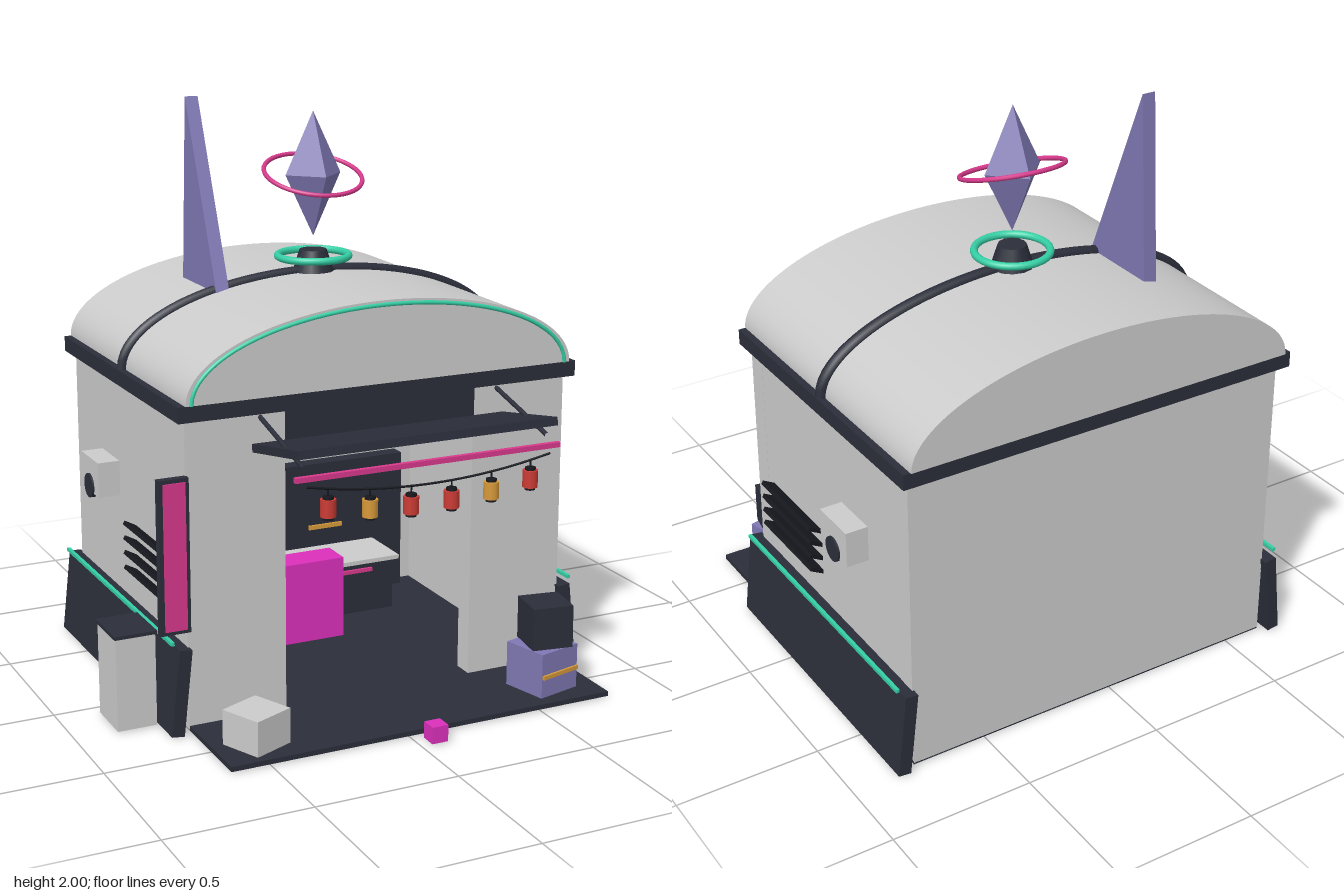
import * as THREE from 'three';

const CX = 0.065; // centre line of the building
const mat = (color) => new THREE.MeshStandardMaterial({ color });
const M = {
  grey: mat(0xcccccc), dark: mat(0x2b2e3a), black: mat(0x16181e), purple: mat(0x8078b4), pink: mat(0xd83a8c),
  magenta: mat(0xdc30bc), teal: mat(0x35cfa5), red: mat(0xcc3b35), amber: mat(0xd89a3a),
};
const flatPurple = M.purple.clone();
flatPurple.flatShading = true;

export function createModel() {
  const root = new THREE.Group();

  const add = (name, geo, material, x = 0, y = 0, z = 0, parent = root) => {
    const mesh = new THREE.Mesh(geo, material);
    mesh.name = name;
    mesh.position.set(x, y, z);
    parent.add(mesh);
    return mesh;
  };
  // box given by its limits on each axis
  const box = (name, material, [x0, x1], [y0, y1], [z0, z1], parent = root) =>
    add(name, new THREE.BoxGeometry(x1 - x0, y1 - y0, z1 - z0), material,
      (x0 + x1) / 2, (y0 + y1) / 2, (z0 + z1) / 2, parent);
  const tube = (name, material, pts, r, seg = 40) =>
    add(name, new THREE.TubeGeometry(new THREE.CatmullRomCurve3(pts), seg, r, 8), material);
  const arc = (rx, ry, z) => Array.from({ length: 25 }, (_, i) => {
    const a = Math.PI * i / 24;
    return new THREE.Vector3(CX + rx * Math.cos(a), 1.12 + ry * Math.sin(a), z);
  });

  // Floor and hollow walls
  box('floor', M.dark, [-0.637, 0.77], [0.005, 0.022], [-0.73, 0.675]);
  box('backWall', M.grey, [-0.637, 0.77], [0.01, 1.07], [-0.73, -0.66]);
  box('frontWallRight', M.grey, [-0.637, -0.287], [0.01, 1.07], [0.25, 0.325]);
  box('frontWallLeft', M.grey, [0.415, 0.77], [0.01, 1.07], [0.25, 0.325]);
  box('lintel', M.grey, [-0.287, 0.415], [0.92, 1.07], [0.25, 0.324]);
  box('header', M.dark, [-0.287, 0.415], [0.94, 1.065], [0.26, 0.332]);
  box('headerLight', M.teal, [-0.26, 0.39], [0.9, 0.915], [0.32, 0.342]);

  // Parts repeated on both sides
  for (const s of [1, -1]) {
    const side = new THREE.Group();
    side.name = s > 0 ? 'leftSide' : 'rightSide';
    side.position.x = CX;
    root.add(side);
    const lim = (a, b) => (s > 0 ? [a, b] : [-b, -a]);
    box('sideWall', M.grey, lim(0.635, 0.704), [0.01, 1.07], [-0.729, 0.324], side);
    const skirt = add('skirt', new THREE.BoxGeometry(0.045, 0.3, 1.11), M.dark, s * 0.737, 0.152, -0.203, side);
    skirt.rotation.z = s * 0.11;
    box('skirtLight', M.teal, lim(0.75, 0.762), [0.312, 0.324], [-0.73, 0.325], side);
    box('ventBox', M.grey, lim(0.7, 0.783), [0.645, 0.77], [-0.467, -0.293], side);
    const fan = add('ventFan', new THREE.CylinderGeometry(0.043, 0.043, 0.02, 24), M.dark, s * 0.78, 0.668, -0.38, side);
    fan.rotation.z = Math.PI / 2;
    for (let i = 0; i < 4; i++) {
      const slat = add('louver', new THREE.BoxGeometry(0.055, 0.014, 0.35), M.black, s * 0.725, 0.425 + i * 0.053, 0.035, side);
      slat.rotation.z = s * 0.5;
    }
  }

  // Roof: eaves, vault, rib and lit edge
  box('eaves', M.dark, [-0.67, 0.8], [1.066, 1.12], [-0.76, 0.353]);
  const vault = new THREE.CylinderGeometry(1, 1, 1.12, 64, 1, false, 0, Math.PI);
  vault.rotateX(Math.PI / 2).rotateZ(Math.PI / 2).scale(0.71, 0.28, 1);
  add('roofVault', vault, M.grey, CX, 1.12, -0.205);
  tube('roofRib', M.dark, arc(0.715, 0.28, -0.205), 0.021, 60);
  tube('roofEdgeLight', M.teal, arc(0.69, 0.265, 0.355), 0.007, 60);

  // Floating crystal on its pedestal
  add('pedestal', new THREE.CylinderGeometry(0.048, 0.075, 0.085, 12), M.dark, CX, 1.433, -0.205);
  const ring = add('pedestalRing', new THREE.TorusGeometry(0.125, 0.013, 10, 40), M.teal, CX, 1.453, -0.205);
  ring.rotation.x = Math.PI / 2;
  const crystal = add('crystal', new THREE.OctahedronGeometry(1), flatPurple, CX, 1.74, -0.205);
  crystal.scale.set(0.105, 0.217, 0.105);
  const halo = add('crystalRing', new THREE.TorusGeometry(0.172, 0.008, 8, 48), M.pink, CX, 1.738, -0.205);
  halo.rotation.x = Math.PI / 2 + 0.3;

  // Roof fin: triangle profile in z and y, given thickness along x
  const fin = new THREE.Shape([[0.17, 1.34], [0.485, 1.34], [0.44, 2]].map(([a, b]) => new THREE.Vector2(a, b)));
  const finMesh = add('roofFin', new THREE.ExtrudeGeometry(fin, { depth: 0.048, bevelEnabled: false }), M.purple, -0.266);
  finMesh.rotation.y = Math.PI / 2;
  finMesh.position.x = -0.314;

  // Awning, struts and lit front edge
  const awning = add('awning', new THREE.BoxGeometry(0.935, 0.028, 0.36), M.dark, CX - 0.002, 0.982, 0.502);
  awning.rotation.x = -0.19;
  box('awningLight', M.pink, [-0.415, 0.54], [0.928, 0.945], [0.668, 0.685]);
  for (const x of [-0.375, 0.505])
    tube('awningStrut', M.dark, [new THREE.Vector3(x, 1.05, 0.32), new THREE.Vector3(x, 0.966, 0.655)], 0.008, 2);

  // Hanging string of lanterns
  const sag = (x) => 0.865 + 0.045 * ((x - CX) / 0.44) ** 2;
  tube('lanternWire', M.black, Array.from({ length: 9 }, (_, i) => {
    const x = CX - 0.44 + 0.11 * i;
    return new THREE.Vector3(x, sag(x), 0.678);
  }), 0.004);
  [M.red, M.amber, M.red, M.red, M.amber, M.red].forEach((material, i) => {
    const x = CX + (i - 2.5) * 0.1465;
    const lantern = new THREE.Group();
    lantern.name = 'lantern';
    lantern.position.set(x, sag(x) - 0.062, 0.678);
    root.add(lantern);
    add('lanternBody', new THREE.CylinderGeometry(0.026, 0.026, 0.058, 10), material, 0, 0, 0, lantern);
    add('lanternCaps', new THREE.CylinderGeometry(0.018, 0.018, 0.076, 10), M.black, 0, 0, 0, lantern);
    add('lanternHanger', new THREE.CylinderGeometry(0.003, 0.003, 0.03, 6), M.black, 0, 0.048, 0, lantern);
  });

  // Side sign
  box('signFrame', M.dark, [-0.74, -0.635], [0.36, 0.885], [0.32, 0.347]);
  box('signPanel', M.pink, [-0.725, -0.648], [0.373, 0.872], [0.33, 0.352]);

  // Counter and back panel inside
  box('counter', M.dark, [-0.35, 0.48], [0.02, 0.217], [-0.58, -0.38]);
  box('counterTop', M.grey, [-0.37, 0.5], [0.217, 0.233], [-0.59, -0.365]);
  box('counterLight', M.pink, [-0.26, 0.39], [0.182, 0.196], [-0.385, -0.37]);
  box('backPanel', M.dark, [-0.5, 0.63], [0.02, 0.56], [-0.66, -0.6]);
  for (const x of [-0.24, 0.23])
    box('shelfLight', M.amber, [x, x + 0.14], [0.3, 0.316], [-0.605, -0.59]);

  // Marker blocks
  box('standingBlock', M.magenta, [-0.05, 0.18], [0.022, 0.325], [-0.31, -0.19]);
  box('smallCube', M.magenta, [0.035, 0.093], [0.005, 0.063], [0.706, 0.764]);

  // Cabinet and crates outside
  box('cabinet', M.grey, [-0.855, -0.717], [0.005, 0.33], [0.055, 0.232]);
  box('cabinetLid', M.dark, [-0.86, -0.712], [0.328, 0.34], [0.05, 0.237]);
  const crate = (name, material, size, h, x, y, z, turn) => {
    const c = add(name, new THREE.BoxGeometry(size, h, size), material, x, y + h / 2, z);
    c.rotation.y = turn;
    return c;
  };
  crate('lightCrate', M.grey, 0.155, 0.14, -0.493, 0.003, 0.545, 0.41);
  const lower = crate('lowerCrate', M.purple, 0.17, 0.167, 0.591, 0.013, 0.528, 0.25);
  add('crateStrip', new THREE.BoxGeometry(0.165, 0.014, 0.012), M.amber, 0, 0, 0.087, lower);
  crate('upperCrate', M.dark, 0.145, 0.15, 0.602, 0.18, 0.525, -0.16);

  return root;
}
